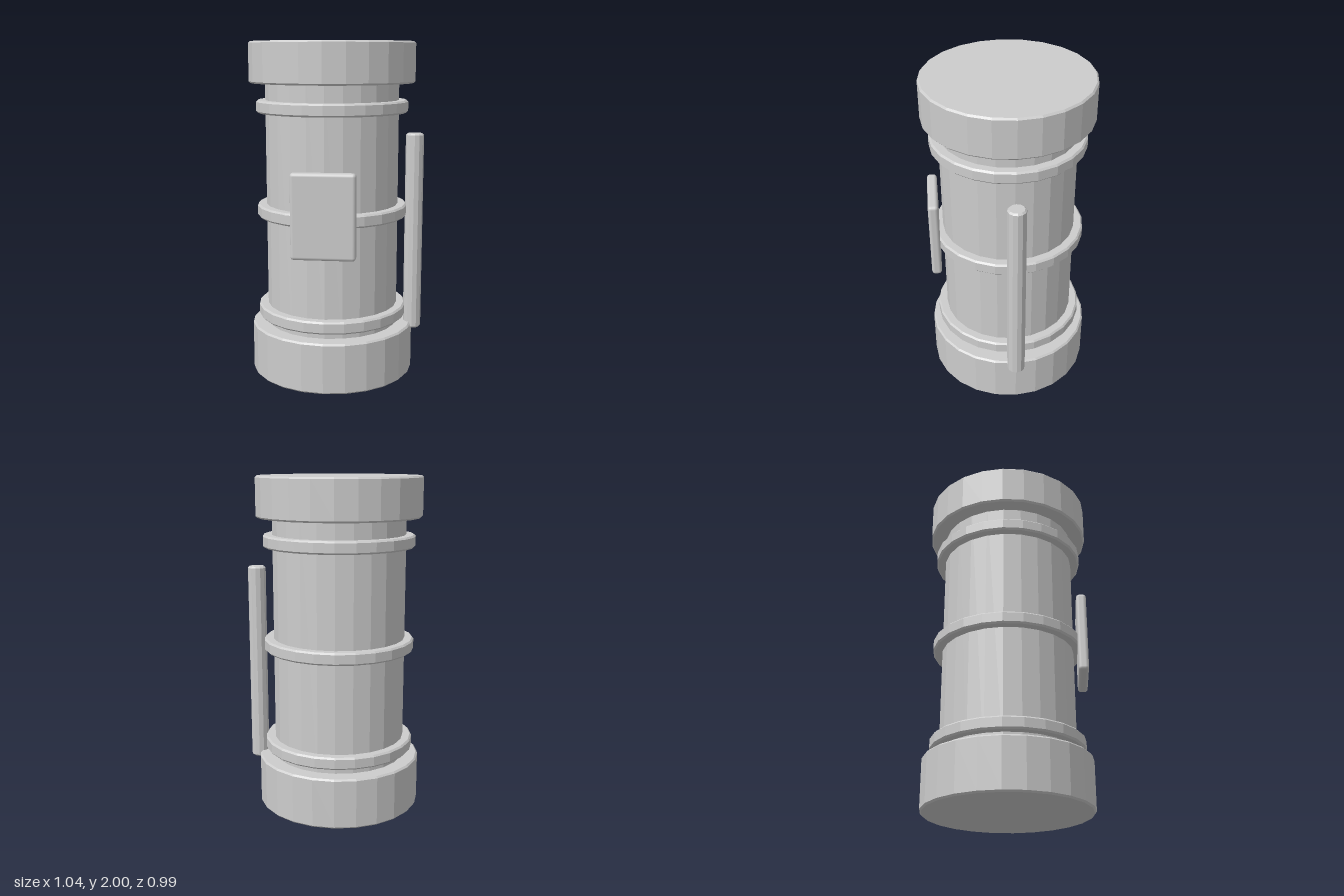
import * as THREE from 'three';
import { RoundedBoxGeometry } from 'three/addons/geometries/RoundedBoxGeometry.js';

const AXIS_X = -0.03; // the drum sits slightly off centre, balanced by the handle

// Solid faceted drum with a small chamfer on both rims
function drum(radius, y0, y1, sides, bevel) {
  const profile = [
    [0, y0], [radius - bevel, y0], [radius, y0 + bevel],
    [radius, y1 - bevel], [radius - bevel, y1], [0, y1],
  ].map(([r, y]) => new THREE.Vector2(r, y));
  const geometry = new THREE.LatheGeometry(profile, sides).toNonIndexed();
  geometry.computeVertexNormals(); // one normal per facet
  return geometry;
}

export function createModel() {
  const model = new THREE.Group();
  model.name = 'canister';
  const grey = new THREE.MeshStandardMaterial({ color: 0xcccccc });
  grey.name = 'light grey';

  function add(name, geometry, x, y = 0, z = 0) {
    const mesh = new THREE.Mesh(geometry, grey);
    mesh.name = name;
    mesh.position.set(x, y, z);
    model.add(mesh);
  }

  // Main cylinder and its two wide end caps
  add('body', drum(0.398, 0.2, 1.85, 24, 0.01), AXIS_X);
  add('bottomCap', drum(0.493, 0, 0.305, 24, 0.01), AXIS_X);
  add('topCap', drum(0.493, 1.76, 2, 24, 0.01), AXIS_X);

  // Three raised bands
  ['lowerBand', 'middleBand', 'upperBand'].forEach((name, i) => {
    const y = 0.384 + i * 0.62;
    add(name, drum(0.453, y - 0.037, y + 0.037, 24, 0.01), AXIS_X);
  });

  // Rounded plate on the front
  add('frontPlate', new RoundedBoxGeometry(0.37, 0.495, 0.06, 2, 0.02), AXIS_X, 1.037, 0.45);

  // Upright rod on the left side
  add('sideHandle', drum(0.054, 0.265, 1.465, 12, 0.01), 0.466);

  return model;
}
